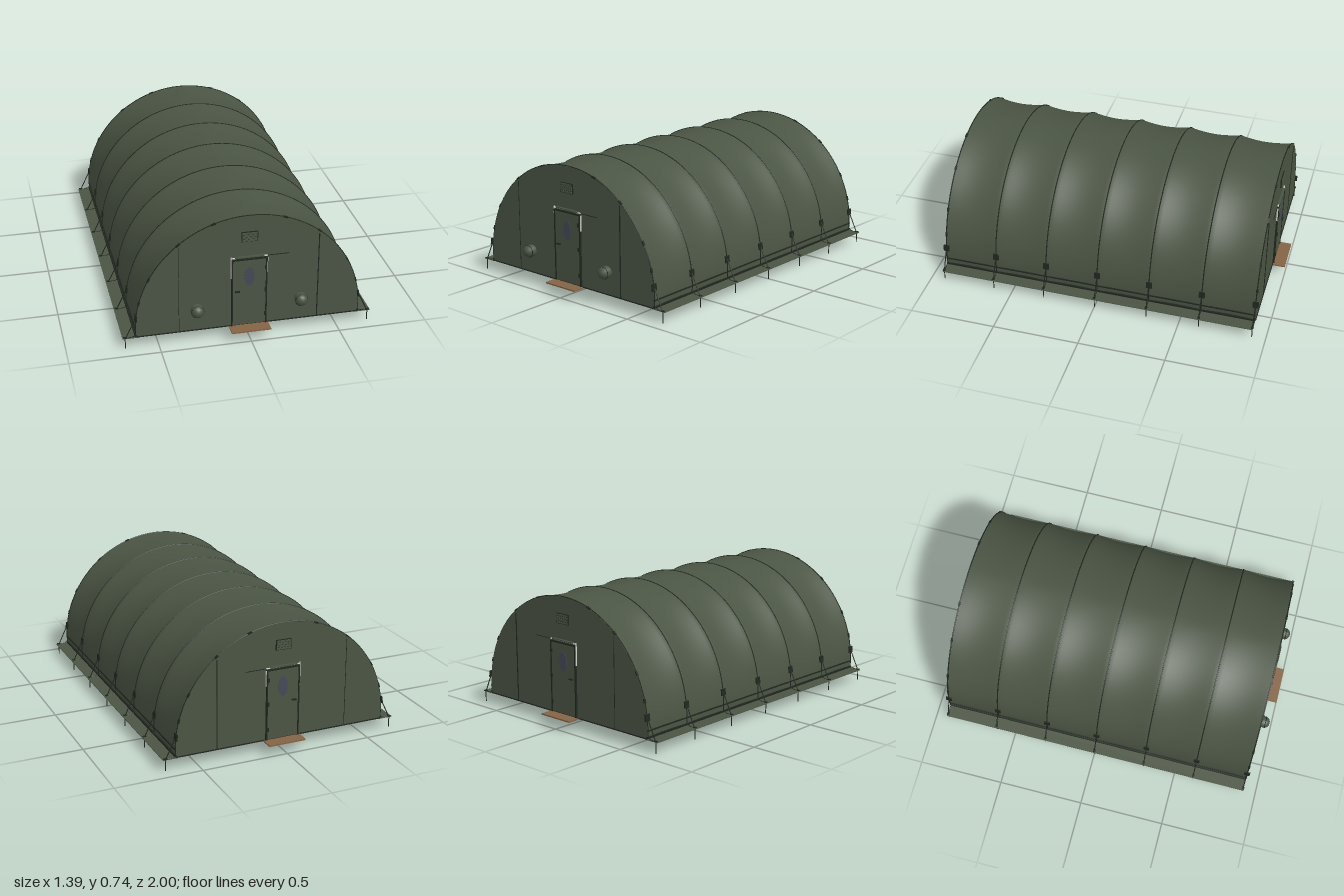
import * as THREE from 'three';

const mat = (name, color, side = THREE.FrontSide) => {
  const m = new THREE.MeshStandardMaterial({ color, side });
  m.name = name;
  return m;
};

const R = 0.625, CY = 0.11, BASE = 0.066, HALF = 0.925, BAY = 0.307, OVER = 0.07;
const ribZ = [-3, -2, -1, 0, 1, 2, 3].map(i => i * BAY);

export function createModel() {
  const canvas = mat('olive canvas', 0x4b5544, THREE.DoubleSide);
  const trim = mat('dark strap', 0x20271f);
  const floorMat = mat('groundsheet', 0x25262c);
  const wood = mat('wood', 0x866445);
  const glass = mat('tinted window', 0x454a5a);
  const white = mat('pale gap', 0xd2d4cc);

  const model = new THREE.Group();
  const add = (name, geo, m, x = 0, y = 0, z = 0, parent = model) => {
    const mesh = new THREE.Mesh(geo, m);
    mesh.name = name;
    mesh.position.set(x, y, z);
    parent.add(mesh);
    return mesh;
  };
  const box = (name, w, h, d, m, x, y, z, parent) =>
    add(name, new THREE.BoxGeometry(w, h, d), m, x, y, z, parent);
  const tube = (name, pts, r, m, parent, n = 8) => add(name, new THREE.TubeGeometry(
    new THREE.CatmullRomCurve3(pts.map(p => new THREE.Vector3(...p))), n, r, 5), m, 0, 0, 0, parent);

  // Arched roof: an arc swept along z, sagging between the ribs
  const roof = new THREE.PlaneGeometry(1, 1, 64, 72);
  const pos = roof.attributes.position;
  for (let i = 0; i < pos.count; i++) {
    const u = pos.getX(i) + 0.5;
    const z = -pos.getY(i) * 2 * HALF;
    const a = Math.PI + OVER - u * (Math.PI + 2 * OVER);
    const sag = Math.abs(Math.sin(Math.PI * z / BAY)) * (0.004 + 0.012 * Math.abs(Math.sin(2 * a)));
    const r = R - (Math.abs(z) > 3 * BAY ? 0 : sag);
    pos.setXYZ(i, r * Math.cos(a), CY + r * Math.sin(a), z);
  }
  roof.computeVertexNormals();
  add('roof', roof, canvas);

  // Rib straps over the roof
  ribZ.forEach(z => {
    const pts = [];
    for (let i = 0; i <= 32; i++) {
      const a = -OVER + (Math.PI + 2 * OVER) * i / 32;
      pts.push([R * Math.cos(a), CY + R * Math.sin(a), z]);
    }
    tube('ribStrap', pts, 0.0035, trim, model, 64);
  });

  // Floor, runners beneath it and a step at each door
  box('floor', 2 * R - 0.01, 0.006, 2 * HALF, floorMat, 0, BASE, 0);
  [-0.53, 0, 0.53].forEach(x => box('floorRunner', 0.02, 0.006, 2 * HALF - 0.02, wood, x, 0.061, 0));

  // End walls with door, vent and seams, mirrored front to back
  const wallShape = new THREE.Shape();
  wallShape.absarc(0, CY, R - 0.001, -OVER, Math.PI + OVER, false);
  wallShape.closePath();
  const wallGeo = new THREE.ShapeGeometry(wallShape, 64);

  [1, -1].forEach(s => {
    const end = new THREE.Group();
    end.name = s > 0 ? 'frontEnd' : 'backEnd';
    model.add(end);
    const part = (name, w, h, d, m, x, y, out = 0) =>
      box(name, w, h, d, m, x, y, s * (HALF + out), end);

    const wall = add('endWall', wallGeo, canvas, 0, 0, s * (HALF - 0.001), end);
    if (s < 0) wall.rotation.y = Math.PI;
    part('wallSeam', 0.005, 0.515, 0.006, trim, 0.387, 0.326);
    part('wallSeam', 0.002, 0.515, 0.004, trim, -0.387, 0.326);
    part('bottomHem', 2 * R - 0.01, 0.005, 0.008, trim, 0, 0.068);

    // Door
    [-1, 1].forEach(k => {
      part('doorPost', 0.008, 0.41, 0.014, trim, k * 0.095, 0.273, 0.003);
      part('doorGap', 0.003, k < 0 ? 0.13 : 0.09, 0.012, white, k * 0.101, 0.43, 0.001);
    });
    part('doorLintel', 0.198, 0.008, 0.014, trim, 0, 0.476, 0.003);
    part('doorGap', 0.2, 0.004, 0.012, white, 0, 0.487, 0.001);
    part('doorHood', 0.16, 0.007, 0.016, canvas, 0, 0.491, 0.004);
    part('doorCord', 0.12, 0.003, 0.006, trim, 0.16, 0.486);
    part('doorPanel', 0.182, 0.4, 0.012, canvas, 0, 0.272, 0.001);
    part('doorHandle', 0.026, 0.007, 0.02, trim, -0.066, 0.284, 0.008);
    [0.13, 0.28, 0.42].forEach(y => part('doorHinge', 0.012, 0.022, 0.016, trim, 0.09, y, 0.006));
    const pane = add('doorWindow', new THREE.CylinderGeometry(0.027, 0.027, 0.004, 24), glass,
      0, 0.372, s * (HALF + 0.007), end);
    pane.rotation.x = Math.PI / 2;
    pane.scale.z = 2.1;
    box('doorStep', 0.22, 0.008, 0.072, wood, 0, 0.064, s * 0.964, end);

    // Slatted vent
    part('ventBack', 0.09, 0.058, 0.01, trim, 0, 0.612, 0.001);
    for (let i = 0; i < 4; i++) part('ventSlat', 0.082, 0.0105, 0.016, canvas, 0, 0.5915 + i * 0.0137, 0.001);

    // Buckles around the arch edge
    [0.26, 0.5, 0.9, 1.25].forEach(a => [a, Math.PI - a].forEach(b => {
      const buckle = part('edgeBuckle', 0.008, 0.025, 0.012, trim, R * Math.cos(b), CY + R * Math.sin(b), -0.004);
      buckle.rotation.z = b;
    }));
  });

  // Round duct ports on the front wall
  const portGeo = new THREE.LatheGeometry(
    [[0.034, 0], [0.034, 0.035], [0.026, 0.048], [0.012, 0.056], [0, 0.057]].map(p => new THREE.Vector2(...p)), 20);
  [-0.29, 0.29].forEach(x => {
    add('ductPort', portGeo, canvas, x, 0.197, HALF).rotation.x = Math.PI / 2;
    add('ductRing', new THREE.TorusGeometry(0.033, 0.003, 6, 24), trim, x, 0.197, HALF + 0.032);
  });

  // Long sides: ground flap, hems, guy ropes and stakes
  [-1, 1].forEach(k => {
    const side = new THREE.Group();
    side.name = k > 0 ? 'leftSide' : 'rightSide';
    model.add(side);
    box('groundFlap', 0.085, 0.004, 2 * HALF, canvas, k * 0.655, 0.063, 0, side);
    box('sideBand', 0.006, 0.007, 2 * HALF, trim, k * 0.625, 0.11, 0, side);
    box('sideHem', 0.012, 0.01, 2 * HALF, trim, k * 0.624, 0.073, 0, side);
    ribZ.forEach(z => {
      box('ropePad', 0.008, 0.038, 0.034, trim, k * 0.622, 0.183, z, side).rotation.z = k * 0.11;
      tube('guyRope', [[k * 0.622, 0.185, z], [k * 0.652, 0.124, z], [k * 0.682, 0.062, z]], 0.003, trim, side);
      tube('flapCord', [[k * 0.625, 0.075, z], [k * 0.65, 0.066, z], [k * 0.685, 0.066, z]], 0.002, trim, side);
      add('stake', new THREE.CylinderGeometry(0.0028, 0.0028, 0.066, 6), trim, k * 0.683, 0.033, z, side);
      box('stakeHead', 0.018, 0.004, 0.014, trim, k * 0.683, 0.067, z, side);
    });
  });

  return model;
}
